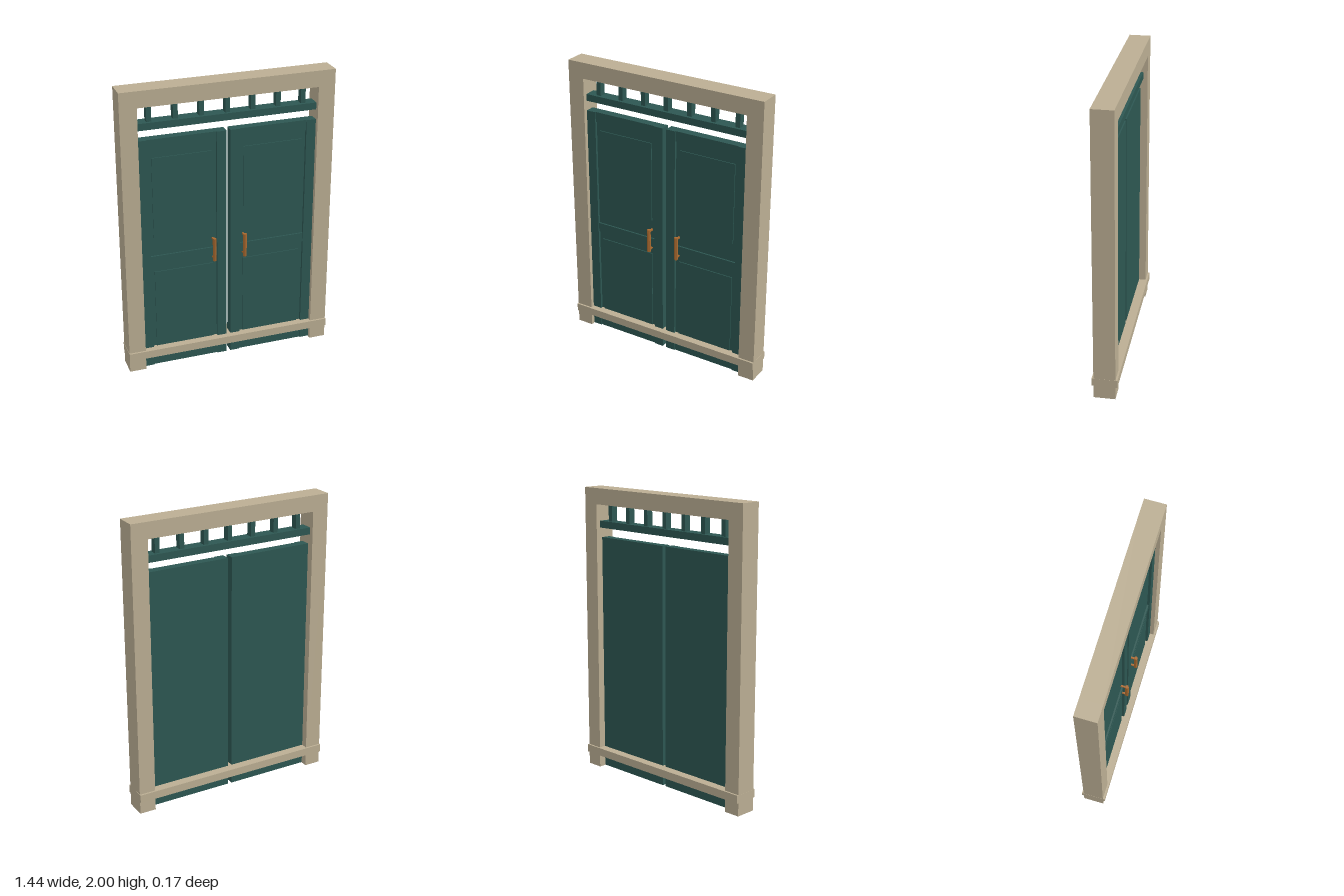
import * as THREE from 'three';

const stone = new THREE.MeshStandardMaterial({ color: 0xbbae93 });
stone.name = 'tan frame';
const teal = new THREE.MeshStandardMaterial({ color: 0x2d5752 });
teal.name = 'teal paint';
const copper = new THREE.MeshStandardMaterial({ color: 0xa8692f });
copper.name = 'copper';

// Box given by its min and max corners
function box(name, material, [x0, y0, z0], [x1, y1, z1]) {
  const mesh = new THREE.Mesh(new THREE.BoxGeometry(x1 - x0, y1 - y0, z1 - z0), material);
  mesh.position.set((x0 + x1) / 2, (y0 + y1) / 2, (z0 + z1) / 2);
  mesh.name = name;
  return mesh;
}

// Box on side s (+1 or -1), measured from the centre line outwards
function sideBox(name, material, s, [x0, y0, z0], [x1, y1, z1]) {
  const a = s * x0, b = s * x1;
  return box(name, material, [Math.min(a, b), y0, z0], [Math.max(a, b), y1, z1]);
}

function createDoor(s) {
  const door = new THREE.Group();
  door.name = s > 0 ? 'leftDoor' : 'rightDoor';

  // Core slab, flat at the back
  door.add(sideBox('doorSlab', teal, s, [0.014, 0.003, -0.023], [0.605, 1.66, 0.025]));

  // Upright stiles
  door.add(sideBox('innerStile', teal, s, [0.014, 0.003, 0.025], [0.08, 1.66, 0.043]));
  door.add(sideBox('outerStile', teal, s, [0.54, 0.003, 0.025], [0.605, 1.66, 0.043]));

  // Cross rails between the stiles
  for (const [name, y0, y1] of [['bottomRail', 0.003, 0.073], ['middleRail', 0.77, 0.835], ['topRail', 1.59, 1.66]]) {
    door.add(sideBox(name, teal, s, [0.08, y0, 0.025], [0.54, y1, 0.036]));
  }

  // Raised panels
  for (const [name, y0, y1] of [['lowerPanel', 0.13, 0.715], ['upperPanel', 0.967, 1.53]]) {
    door.add(sideBox(name, teal, s, [0.107, y0, 0.025], [0.513, y1, 0.032]));
  }

  // Pull handle on two small mounts
  const handle = new THREE.Group();
  handle.name = 'handle';
  const grip = new THREE.Mesh(new THREE.CylinderGeometry(0.013, 0.013, 0.165, 6).toNonIndexed(), copper);
  grip.geometry.computeVertexNormals();
  grip.name = 'handleGrip';
  grip.position.set(s * 0.107, 0.833, 0.069);
  handle.add(grip);
  for (const y of [0.765, 0.9]) {
    handle.add(sideBox('handleMount', copper, s, [0.101, y - 0.006, 0.025], [0.113, y + 0.006, 0.069]));
  }
  door.add(handle);
  return door;
}

export function createModel() {
  const model = new THREE.Group();
  model.name = 'doorway';

  // Frame: two posts, a lintel and a low crossbar
  for (const s of [-1, 1]) {
    model.add(sideBox(s > 0 ? 'leftPost' : 'rightPost', stone, s, [0.605, 0, -0.072], [0.719, 2, 0.072]));
    model.add(createDoor(s));
  }
  model.add(box('lintel', stone, [-0.605, 1.89, -0.072], [0.605, 2, 0.072]));
  model.add(box('crossbar', stone, [-0.72, 0.09, -0.085], [0.72, 0.145, 0.085]));

  // Transom bar with seven short balusters
  model.add(box('transomBar', teal, [-0.605, 1.728, -0.042], [0.605, 1.775, 0.042]));
  for (let i = -3; i <= 3; i++) {
    const x = i * 0.173;
    model.add(box('baluster', teal, [x - 0.016, 1.775, -0.023], [x + 0.016, 1.89, 0.023]));
  }
  return model;
}
